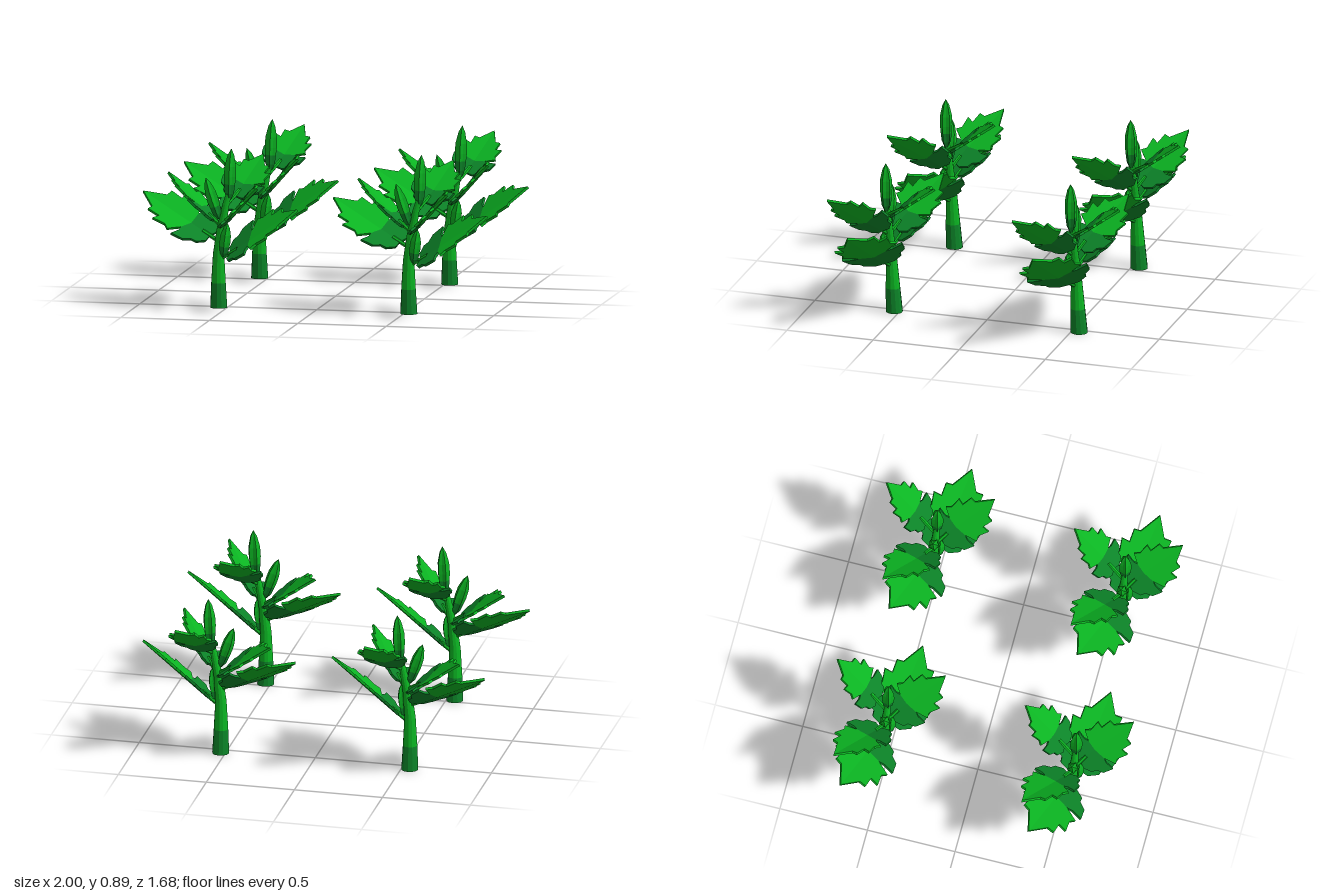
import * as THREE from 'three';

const V = (x, y, z) => new THREE.Vector3(x, y, z);
const makeMaterial = (name, color) => {
  const m = new THREE.MeshStandardMaterial({ color, flatShading: true, side: THREE.DoubleSide });
  m.name = name;
  return m;
};

export function createModel() {
  const light = makeMaterial('leafGreen', 0x0bb422);
  const dark = makeMaterial('deepGreen', 0x0c8428);

  const add = (parent, name, geometry, material) => {
    const mesh = new THREE.Mesh(geometry, material);
    mesh.name = name;
    parent.add(mesh);
  };

  // Half outlines as [half width, distance along midrib]
  const bladeOutline = [[0, 0.28], [0.5, 0.31], [0.98, 0.39], [0.84, 0.46], [0.94, 0.62], [0.64, 0.6], [0.66, 0.76], [0.42, 0.76], [0, 1]];
  const lobeOutline = [[0, 0], [0.35, -0.03], [0.68, 0.03], [0.72, 0.1], [0.98, 0.16], [1.08, 0.31], [0.7, 0.29], [0.5, 0.31], [0, 0.28]];

  // Thin slab for one half of a leaf, folded up along the midrib
  function halfLeaf(outline, side, length, halfWidth, fold) {
    const points = outline.map(([w, u]) => new THREE.Vector2(side * w * halfWidth, u * length));
    const g = new THREE.ExtrudeGeometry(new THREE.Shape(points), { depth: 0.014, bevelEnabled: false });
    const p = g.attributes.position;
    for (let i = 0; i < p.count; i++) {
      p.setZ(i, p.getZ(i) - 0.012 + fold * Math.abs(p.getX(i)));
    }
    g.computeVertexNormals();
    return g;
  }

  // Leaf from its base to its tip; sideHint sets the direction of its width
  function addLeaf(parent, { name, base, tip, sideHint, halfWidth, root }) {
    const leaf = new THREE.Group();
    leaf.name = name;
    const axis = tip.clone().sub(base);
    const length = axis.length();
    axis.normalize();
    const across = sideHint.clone().addScaledVector(axis, -sideHint.dot(axis)).normalize();
    const normal = across.clone().cross(axis);
    if (normal.y < 0) {
      across.negate();
      normal.negate();
    }
    leaf.matrix.makeBasis(across, axis, normal).setPosition(base);
    leaf.matrix.decompose(leaf.position, leaf.quaternion, leaf.scale);
    for (const side of [-1, 1]) {
      add(leaf, 'leafBlade', halfLeaf(bladeOutline, side, length, halfWidth, 0.13), light);
      add(leaf, 'leafLobe', halfLeaf(lobeOutline, side, length, halfWidth, 0.13), dark);
    }
    parent.add(leaf);
    // Stalk joining the leaf to the stem
    const end = base.clone().addScaledVector(axis, 0.05);
    const path = new THREE.LineCurve3(root, end);
    add(parent, 'leafStalk', new THREE.TubeGeometry(path, 1, 0.012, 6), light);
  }

  // Pointed bud, a ribbed spindle with a dark lower cup
  function addBud(parent, base, tip, radius) {
    const bud = new THREE.Group();
    bud.name = 'bud';
    const axis = tip.clone().sub(base);
    const h = axis.length();
    const lathe = (profile) => {
      const g = new THREE.LatheGeometry(profile.map(([r, y]) => new THREE.Vector2(r * radius, y * h)), 10);
      const p = g.attributes.position;
      for (let i = 0; i < p.count; i++) {
        const k = Math.floor(i / profile.length) % 2 ? 0.7 : 1;
        p.setXYZ(i, p.getX(i) * k, p.getY(i), p.getZ(i) * k);
      }
      g.computeVertexNormals();
      return g;
    };
    add(bud, 'budPetals', lathe([[0.9, 0.3], [1, 0.45], [0.95, 0.65], [0.55, 0.87], [0, 1]]), light);
    add(bud, 'budCup', lathe([[0.3, 0], [0.75, 0.12], [0.9, 0.3]]), dark);
    bud.position.copy(base);
    bud.quaternion.setFromUnitVectors(V(0, 1, 0), axis.normalize());
    parent.add(bud);
  }

  // Open stem section lofted through rings given as [x, y, z, radius]
  function stemGeometry(rings) {
    const n = 12, pos = [], idx = [];
    rings.forEach(([x, y, z, r], j) => {
      for (let i = 0; i < n; i++) {
        const a = (i / n) * Math.PI * 2;
        pos.push(x + r * Math.cos(a), y, z + r * Math.sin(a));
        if (j) {
          const a0 = (j - 1) * n + i, b0 = (j - 1) * n + ((i + 1) % n);
          idx.push(a0, a0 + n, b0, b0, a0 + n, b0 + n);
        }
      }
    });
    const g = new THREE.BufferGeometry();
    g.setAttribute('position', new THREE.Float32BufferAttribute(pos, 3));
    g.setIndex(idx);
    g.computeVertexNormals();
    return g;
  }

  function createPlant() {
    const plant = new THREE.Group();
    plant.name = 'plant';

    // Stem with a dark foot
    const foot = [[-0.01, 0, -0.007, 0.048], [-0.01, 0.14, 0.001, 0.041]];
    add(plant, 'stemFoot', stemGeometry(foot), dark);
    add(plant, 'stem', stemGeometry([
      foot[1], [-0.008, 0.3, 0.008, 0.032], [0.008, 0.44, 0.014, 0.026],
      [0.035, 0.58, 0.018, 0.02], [0.063, 0.68, 0.018, 0.014],
    ]), light);

    // Leaves, lowest first
    addLeaf(plant, {
      name: 'lowerLeftLeaf', base: V(0.065, 0.31, 0.03), tip: V(0.457, 0.58, 0.115),
      sideHint: V(0.05, -0.37, 0.93), halfWidth: 0.17, root: V(-0.005, 0.27, 0.008),
    });
    addLeaf(plant, {
      name: 'lowerRightLeaf', base: V(-0.06, 0.4, -0.005), tip: V(-0.46, 0.62, -0.117),
      sideHint: V(-0.05, -0.48, 0.87), halfWidth: 0.17, root: V(0, 0.37, 0.01),
    });
    addLeaf(plant, {
      name: 'frontLeaf', base: V(0.055, 0.5, 0.04), tip: V(0.267, 0.72, 0.293),
      sideHint: V(0.66, 0.75, 0), halfWidth: 0.135, root: V(0.015, 0.46, 0.014),
    });
    addLeaf(plant, {
      name: 'upperRightLeaf', base: V(-0.035, 0.49, 0), tip: V(-0.333, 0.72, -0.19),
      sideHint: V(0, 0, 1), halfWidth: 0.13, root: V(0.01, 0.46, 0.014),
    });
    addLeaf(plant, {
      name: 'backLeaf', base: V(0.075, 0.62, -0.05), tip: V(0.18, 0.82, -0.3),
      sideHint: V(1, 0, 0), halfWidth: 0.12, root: V(0.04, 0.58, 0.018),
    });

    // Buds on the tip and beside the stem
    addBud(plant, V(0.055, 0.61, 0.018), V(0.067, 0.895, 0.018), 0.036);
    addBud(plant, V(0, 0.5, 0.02), V(-0.075, 0.73, 0.03), 0.035);
    addBud(plant, V(0.025, 0.29, 0.03), V(0.05, 0.48, 0.04), 0.032);
    return plant;
  }

  // Four plants in a square
  const model = new THREE.Group();
  model.name = 'plantPatch';
  for (const x of [-0.537, 0.537]) {
    for (const z of [-0.537, 0.537]) {
      const plant = createPlant();
      plant.position.set(x, 0, z);
      model.add(plant);
    }
  }
  return model;
}
